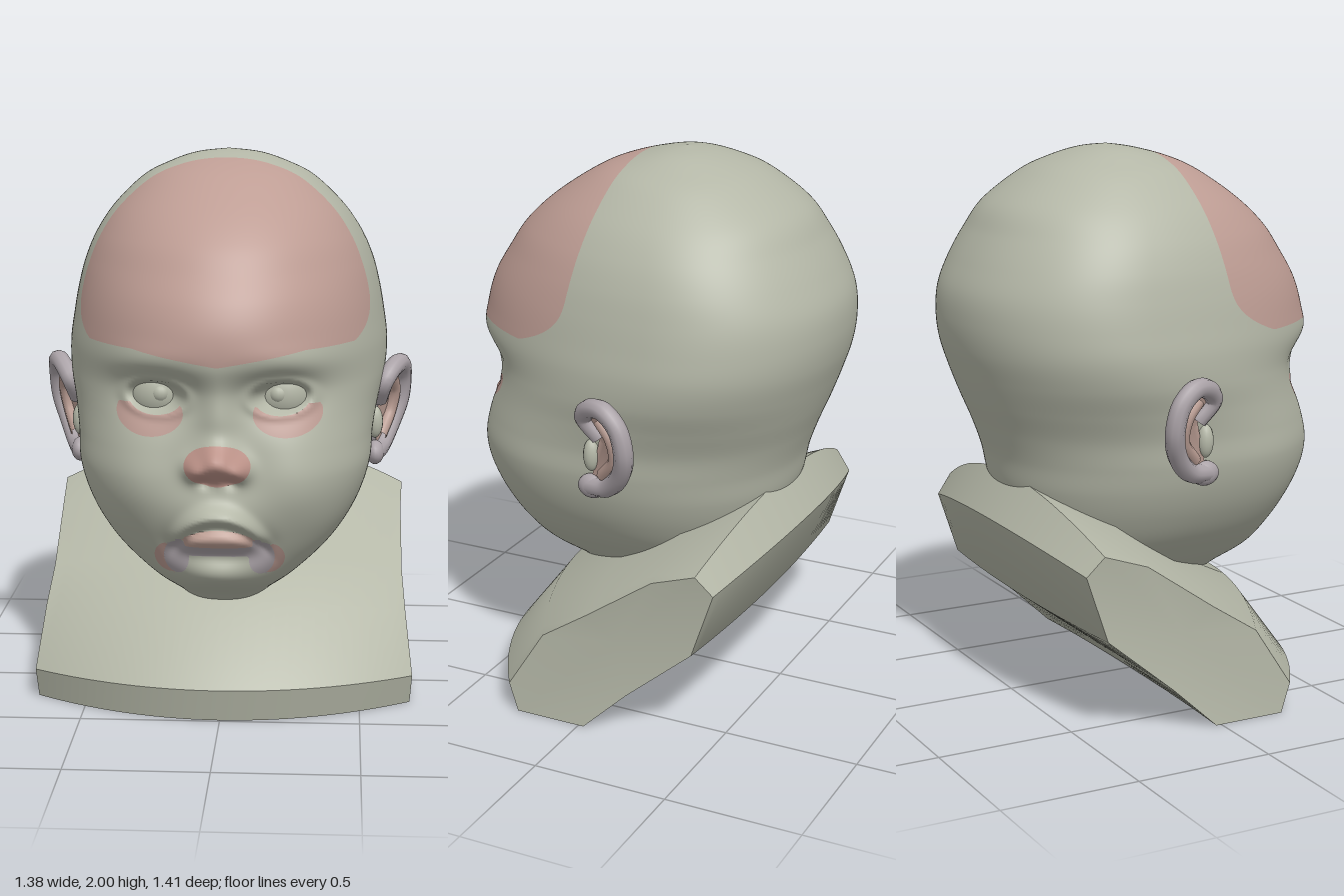
import * as THREE from 'three';
import { toCreasedNormals } from 'three/addons/utils/BufferGeometryUtils.js';

const mat = (name, color, side = THREE.FrontSide) =>
  Object.assign(new THREE.MeshStandardMaterial({ color, side }), { name });
const skin = mat('skin', 0xb4b7a7);
const blush = mat('blush', 0xbe9d94);
const nosePink = mat('nosePink', 0xbc9288);
const lipPink = mat('lipPink', 0xc1a297);
const lavender = mat('lavender', 0xaba3a8, THREE.DoubleSide);
const earPink = mat('earPink', 0xbb9e94, THREE.DoubleSide);

const part = (name, geo, material) => Object.assign(new THREE.Mesh(geo, material), { name });
const surface = (pos, idx) => {
  const geo = new THREE.BufferGeometry();
  geo.setAttribute('position', new THREE.Float32BufferAttribute(pos, 3));
  geo.setIndex(idx);
  geo.computeVertexNormals();
  return geo;
};
const bump = (x, y, cx, cy, sx, sy) => Math.exp(-(((x - cx) / sx) ** 2) - ((y - cy) / sy) ** 2);
const ridge = (v, c, s) => Math.exp(-(((v - c) / s) ** 2));
const ellipse = (x, y, cx, cy, rx, ry) => Math.hypot((x - cx) / rx, (y - cy) / ry);

// Head cross-sections: height, front z, back z, half width, z of the widest point
const SECTIONS = [
  [2.0, -0.1, -0.1, 0, -0.1], [1.985, 0, -0.2, 0.12, -0.1], [1.95, 0.13, -0.31, 0.22, -0.11],
  [1.9, 0.24, -0.41, 0.315, -0.12], [1.8, 0.39, -0.54, 0.42, -0.14], [1.7, 0.5, -0.605, 0.49, -0.17],
  [1.6, 0.57, -0.66, 0.535, -0.19], [1.5, 0.63, -0.7, 0.562, -0.2], [1.4, 0.66, -0.708, 0.58, -0.2],
  [1.3, 0.655, -0.695, 0.592, -0.18], [1.2, 0.61, -0.665, 0.585, -0.13], [1.1, 0.6, -0.63, 0.56, -0.06],
  [1.0, 0.595, -0.59, 0.54, 0.02], [0.9, 0.59, -0.555, 0.532, 0.06], [0.8, 0.58, -0.535, 0.505, 0.06],
  [0.7, 0.56, -0.5, 0.458, 0.05], [0.6, 0.525, -0.45, 0.388, 0.03], [0.5, 0.465, -0.4, 0.285, 0.02],
  [0.43, 0.36, -0.3, 0.2, 0], [0.38, 0.27, -0.2, 0.14, 0], [0.3, 0.05, 0.05, 0, 0.05],
];

// Depth of the facial features over the smooth skull
function faceRelief(x, y) {
  const ax = Math.abs(x);
  const eye = ellipse(ax, y, 0.215, 1.185, 0.085, 0.048);
  const arch = y + 3.5 * ax * ax;
  const lipFade = Math.exp(-((ax / 0.15) ** 4));
  return -0.06 * bump(ax, y, 0.21, 1.19, 0.12, 0.09) // sockets
    - 0.04 * Math.exp(-(eye ** 4)) + 0.014 * ridge(eye, 1.3, 0.3) // eyelids
    + 0.02 * bump(ax, y, 0.25, 1.31, 0.15, 0.06) // brows
    + 0.045 * bump(ax, y, 0.28, 0.88, 0.15, 0.18) // cheeks
    + 0.03 * bump(ax, y, 0, 1.12, 0.06, 0.12) // nose bridge
    + 0.1 * bump(ax, y, 0, 0.975, 0.065, 0.06) // nose tip
    + 0.055 * bump(ax, y, 0.075, 0.945, 0.042, 0.042) // nose wings
    - 0.025 * bump(ax, y, 0.045, 0.9, 0.025, 0.02) // nostrils
    + 0.05 * bump(ax, y, 0, 0.77, 0.15, 0.12) // muzzle
    + lipFade * (0.05 * ridge(arch, 0.785, 0.032) - 0.02 * ridge(arch, 0.735, 0.02)) // upper lip
    + lipFade * 0.027 * ridge(y, 0.685, 0.032) // lower lip
    - 0.015 * bump(ax, y, 0, 0.615, 0.13, 0.03)
    + 0.045 * bump(ax, y, 0, 0.54, 0.13, 0.06) // chin
    - 0.02 * bump(ax, y, 0.16, 0.66, 0.04, 0.05); // mouth corners
}

// Painted area at a point of the head: index into headMaterials
const headMaterials = [skin, blush, nosePink, lipPink, lavender];
function paintAt(x, y, z) {
  const ax = Math.abs(x);
  const hairline = 0.05 + 0.16 * (1.97 - y) + 0.2 * Math.max(0, (1.55 - y) / 0.2) ** 3;
  if (y > 1.305 + 0.05 * Math.min(1, ax / 0.3) && z > hairline) return 1;
  if (z < 0.3) return 0;
  if (ellipse(ax, y, 0.24, 1.13, 0.12, 0.08) < 1 && y < 1.16
    && ellipse(ax, y, 0.22, 1.18, 0.095, 0.058) > 1) return 1;
  if (ellipse(ax, y, 0, 0.96, 0.115, 0.075) < 1) return 2;
  if (ax < 0.12 && y > 0.66 && y + 2 * ax * ax < 0.727) return 3;
  if (ax < 0.15 && y > 0.618 && y < 0.69) return 4;
  if (ellipse(ax, y, 0.15, 0.61, 0.045, 0.065) < 1) return 4;
  if (ellipse(ax, y, 0.18, 0.605, 0.05, 0.06) < 1) return 1;
  return 0;
}

function headGeometry(rows = 200, cols = 220) {
  const curve = (a, b, c) => new THREE.CatmullRomCurve3(
    SECTIONS.map((s) => new THREE.Vector3(s[a], s[b], s[c])), false, 'catmullrom');
  const profile = curve(0, 1, 2), girth = curve(0, 3, 4);
  const pos = [], paint = [], cuts = new Map();
  const addPoint = (x, y, z) => {
    pos.push(x, y, z);
    return paint.push(paintAt(x, y, z)) - 1;
  };
  for (let i = 0; i <= rows; i++) {
    const { x: y, y: front, z: back } = profile.getPoint(i / rows);
    const { y: w, z: mid } = girth.getPoint(i / rows);
    const full = 2.5 - 0.45 * THREE.MathUtils.smoothstep(y, 0.9, 1.3); // chubby lower face
    for (let j = 0; j < cols; j++) {
      const a = (j / cols) * 2 * Math.PI - Math.PI;
      const th = a - 0.4 * Math.sin(a); // finer columns on the face
      const power = 2 / (Math.cos(th) > 0 ? full : 2.15);
      const s = Math.sign(Math.sin(th)) * Math.abs(Math.sin(th)) ** power;
      const c = Math.abs(Math.cos(th)) ** power;
      const x = Math.max(0, w) * s;
      const z = mid + (Math.cos(th) > 0 ? front - mid : back - mid) * c;
      addPoint(x, y, z + faceRelief(x, y) * THREE.MathUtils.smoothstep(z, 0.1, 0.32));
    }
  }
  // point where the paint changes along an edge
  const cut = (p, q) => {
    const a = Math.min(p, q), b = Math.max(p, q), key = `${a},${b}`;
    if (!cuts.has(key)) {
      const at = (t) => [0, 1, 2].map((k) => pos[a * 3 + k] * (1 - t) + pos[b * 3 + k] * t);
      let t = 0.5;
      for (let step = 0.25; step > 0.005; step /= 2) t += paintAt(...at(t)) === paint[a] ? step : -step;
      cuts.set(key, addPoint(...at(t)));
    }
    return cuts.get(key);
  };
  // triangles sorted by colour, split along the colour borders
  const buckets = headMaterials.map(() => []);
  const addTri = (...t) => {
    const odd = [0, 1, 2].find((k) => paint[t[(k + 1) % 3]] === paint[t[(k + 2) % 3]]) ?? 0;
    const [a, b, c] = [t[odd], t[(odd + 1) % 3], t[(odd + 2) % 3]];
    if (paint[a] === paint[b] || paint[b] !== paint[c]) return buckets[paint[a]].push(a, b, c);
    const m = cut(a, b), n = cut(a, c);
    buckets[paint[a]].push(a, m, n);
    return buckets[paint[b]].push(m, b, c, m, c, n);
  };
  for (let i = 0; i < rows; i++) {
    for (let j = 0; j < cols; j++) {
      const a = i * cols + j, b = i * cols + ((j + 1) % cols);
      if (i < rows - 1) addTri(a, a + cols, b + cols);
      if (i > 0) addTri(a, b + cols, b);
    }
  }
  const geo = surface(pos, buckets.flat());
  let start = 0;
  buckets.forEach((b, m) => {
    geo.addGroup(start, b.length, m);
    start += b.length;
  });
  return geo;
}

// Bust base: outline (z, y) on the centre line, outline at the sides, half width
const BASE = [
  [0.49, 0, 0.25, 0, 0.685], [0.52, 0.12, 0.28, 0.11, 0.692], [0.31, 0.39, 0.15, 0.32, 0.667],
  [0.05, 0.5, -0.02, 0.43, 0.657], [-0.25, 0.72, -0.28, 0.61, 0.657], [-0.51, 0.83, -0.45, 0.67, 0.665],
  [-0.605, 0.68, -0.51, 0.6, 0.645], [-0.46, 0.36, -0.43, 0.36, 0.65], [-0.18, 0.15, -0.18, 0.15, 0.66],
  [0, 0, -0.02, 0, 0.685],
];
function baseGeometry(steps = 28) {
  const n = BASE.length, pos = [], idx = [];
  for (let k = 0; k <= steps; k++) {
    const t = (k / steps) * 2 - 1, e = t * t;
    for (const [z0, y0, z1, y1, w] of BASE) pos.push(w * t, y0 + (y1 - y0) * e, z0 + (z1 - z0) * e);
  }
  pos.push(-0.64, 0.34, -0.13, 0.64, 0.34, -0.13); // hubs of the side caps
  const hub = (steps + 1) * n;
  for (let p = 0; p < n; p++) {
    const q = (p + 1) % n;
    for (let a = p, d = q; a < steps * n; a += n, d += n) idx.push(a, a + n, d + n, a, d + n, d);
    idx.push(hub, p, q, hub + 1, steps * n + q, steps * n + p);
  }
  return toCreasedNormals(surface(pos, idx), 0.75);
}

// Ear: rolled rim, inner fold, hollow, back shell and small front flap
function makeEar(side) {
  const ear = new THREE.Group();
  ear.name = side > 0 ? 'leftEar' : 'rightEar';
  const path = (pts) => new THREE.CatmullRomCurve3(pts.map(([x, y, z]) => new THREE.Vector3(x * side, y, z)));
  const rim = path([[0.56, 1.08, -0.035], [0.58, 1.15, 0.015], [0.61, 1.195, -0.02], [0.642, 1.208, -0.09],
    [0.652, 1.155, -0.15], [0.645, 1.06, -0.17], [0.612, 0.97, -0.14], [0.575, 0.9, -0.07], [0.55, 0.885, 0.01]]);
  const fold = path([[0.61, 1.16, -0.06], [0.62, 1.1, -0.11], [0.605, 1.02, -0.115], [0.57, 0.94, -0.05]]);
  const fan = (x, y, z) => {
    const pos = [x * side, y, z], idx = [];
    rim.getPoints(40).forEach((p, i) => {
      pos.push(p.x, p.y, p.z);
      idx.push(0, i + 1, ((i + 1) % 41) + 1);
    });
    return surface(pos, idx);
  };
  const bead = (name, material, size, at) => {
    const m = part(name, new THREE.SphereGeometry(1, 16, 12), material);
    m.scale.set(...size);
    m.position.set(at[0] * side, at[1], at[2]);
    return m;
  };
  ear.add(
    part('earRim', new THREE.TubeGeometry(rim, 60, 0.035, 10), lavender),
    part('earFold', new THREE.TubeGeometry(fold, 30, 0.024, 8), earPink),
    part('earHollow', fan(0.56, 1.05, -0.05), earPink),
    part('earBack', fan(0.5, 1.05, -0.1), lavender),
    bead('earLobe', lavender, [0.034, 0.045, 0.055], [0.55, 0.885, 0.002]),
    bead('earFlap', skin, [0.03, 0.06, 0.03], [0.548, 1.0, 0.005]));
  return ear;
}

export function createModel() {
  const model = new THREE.Group();
  model.name = 'babyBust';
  model.add(part('head', headGeometry(), headMaterials), part('base', baseGeometry(), skin));
  for (const side of [1, -1]) {
    const eye = part(side > 0 ? 'leftEye' : 'rightEye', new THREE.SphereGeometry(0.12, 28, 20), skin);
    eye.position.set(0.215 * side, 1.185, 0.398);
    const iris = part('iris', new THREE.SphereGeometry(0.035, 16, 12), skin);
    iris.position.set(0.205 * side, 1.19, 0.49);
    model.add(eye, iris, makeEar(side));
  }
  return model;
}
